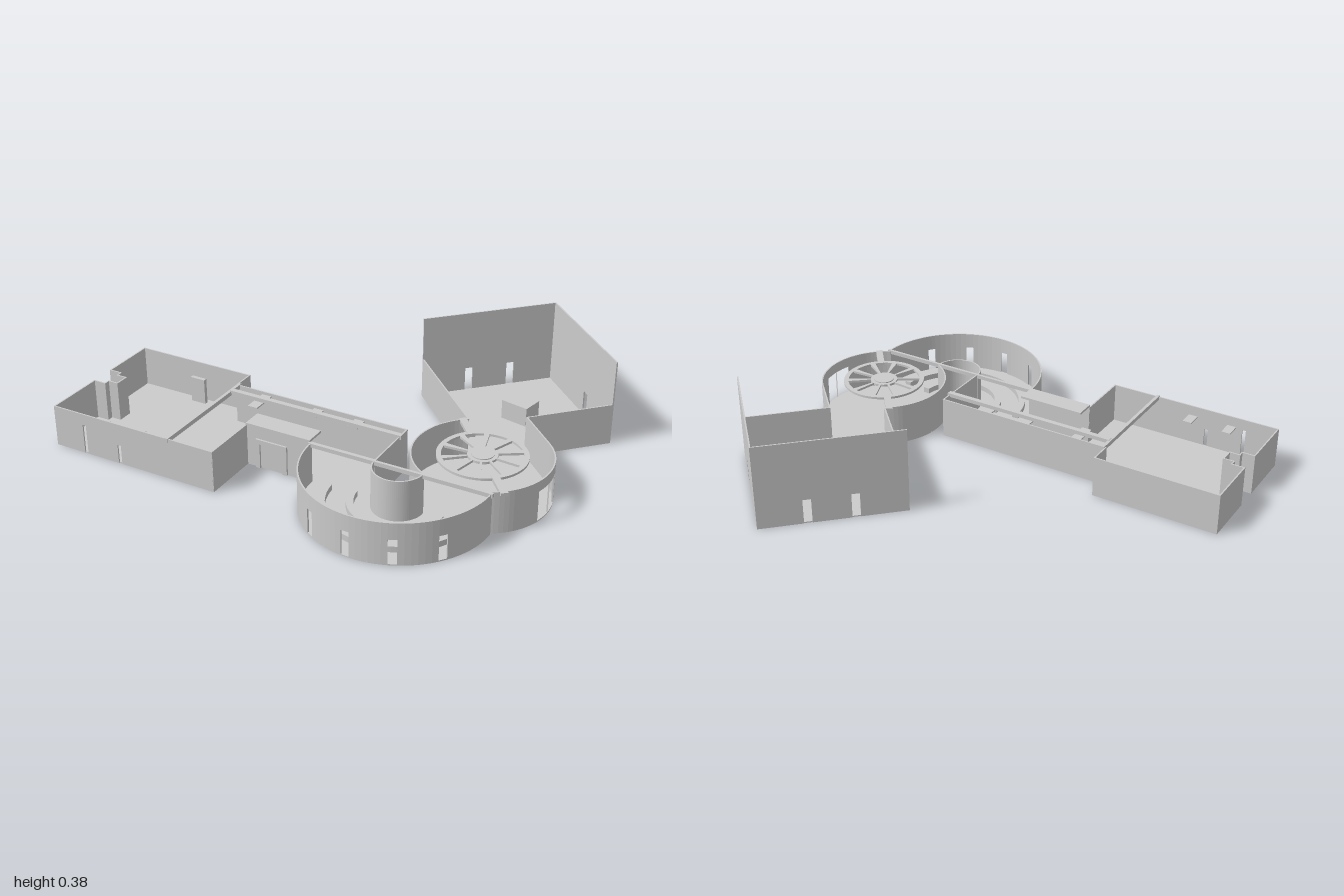
import * as THREE from 'three';

const H = 0.18, TALL = 0.375, T = 0.006, FLOOR = 0.005;

export function createModel() {
  const model = new THREE.Group();
  const mat = new THREE.MeshStandardMaterial({ color: 0xcccccc, side: THREE.DoubleSide });

  const add = (name, geo) => {
    const m = new THREE.Mesh(geo, mat);
    m.name = name;
    model.add(m);
    return m;
  };
  // box given by its ranges
  const box = (name, x0, x1, y0, y1, z0, z1) => {
    const m = add(name, new THREE.BoxGeometry(x1 - x0, y1 - y0, z1 - z0));
    m.position.set((x0 + x1) / 2, (y0 + y1) / 2, (z0 + z1) / 2);
    return m;
  };
  // plan outline (x, z) extruded upwards from y by h
  const slab = (name, shape, y, h) => {
    const g = new THREE.ExtrudeGeometry(shape, { depth: h, bevelEnabled: false, curveSegments: 48 });
    g.rotateX(Math.PI / 2).translate(0, y + h, 0);
    return add(name, g);
  };
  const outline = pts => new THREE.Shape(pts.map(p => new THREE.Vector2(p[0], p[1])));
  const rad = THREE.MathUtils.degToRad;
  // ring sector in plan, angles in degrees from +x towards +z
  const sector = (cx, cz, r0, r1, a0, a1) => {
    const pts = [], n = Math.max(2, Math.ceil((a1 - a0) / 4));
    const at = (r, i) => {
      const a = rad(a0 + (a1 - a0) * i / n);
      return [cx + r * Math.cos(a), cz + r * Math.sin(a)];
    };
    for (let i = 0; i <= n; i++) pts.push(at(r1, i));
    for (let i = n; i >= 0; i--) pts.push(at(r0, i));
    return outline(pts);
  };
  // straight bar between two plan points
  const bar = (name, a, b, y0, y1, t = T) => {
    const dx = b[0] - a[0], dz = b[1] - a[1];
    const m = add(name, new THREE.BoxGeometry(Math.hypot(dx, dz) + t * 0.9, y1 - y0, t));
    m.position.set((a[0] + b[0]) / 2, (y0 + y1) / 2, (a[1] + b[1]) / 2);
    m.rotation.y = -Math.atan2(dz, dx);
  };
  // straight wall with doorways [centre 0..1, width, height]
  const wall = (name, a, b, h = H, doors = []) => {
    const len = Math.hypot(b[0] - a[0], b[1] - a[1]);
    const at = t => [a[0] + (b[0] - a[0]) * t, a[1] + (b[1] - a[1]) * t];
    let t = 0;
    for (const [c, w, top] of doors) {
      const t0 = c - w / 2 / len, t1 = c + w / 2 / len;
      bar(name, at(t), at(t0), 0, h);
      bar(name + 'Lintel', at(t0), at(t1), top, h);
      t = t1;
    }
    bar(name, at(t), at(1), 0, h);
  };
  // curved wall with doorways [centre angle, half angle, height]
  const arcWall = (name, cx, cz, r, a0, a1, doors = []) => {
    let a = a0;
    for (const [c, w, top] of doors) {
      slab(name, sector(cx, cz, r - T, r, a, c - w), 0, H);
      slab(name + 'Lintel', sector(cx, cz, r - T, r, c - w, c + w), top, H - top);
      a = c + w;
    }
    slab(name, sector(cx, cz, r - T, r, a, a1), 0, H);
  };

  // west room and hall: floor
  const alcove = [[-1, 0.33], [-0.945, 0.33], [-0.945, 0.355], [-0.9, 0.355],
    [-0.9, 0.415], [-0.945, 0.415], [-0.945, 0.44], [-1, 0.44]];
  slab('westFloor', outline([[-1, 0.085], ...alcove, [-1, 0.7], [-0.23, 0.7], [-0.23, 0.455],
    [0.35, 0.455], [0.35, 0.18], [-0.45, 0.18], [-0.45, 0.085]]), 0, FLOOR);

  // west room: walls with the stepped alcove
  wall('westBackWall', [-1, 0.085], [-0.45, 0.085]);
  const path = [[-1, 0.085], ...alcove, [-1, 0.7]];
  for (let i = 0; i + 1 < path.length; i++) wall('westSideWall', path[i], path[i + 1]);
  wall('westFrontWall', [-0.997, 0.7], [-0.233, 0.7], H, [[0.19, 0.022, 0.13], [0.415, 0.022, 0.085]]);
  wall('westInnerWall', [-0.45, 0.085], [-0.45, 0.18]);
  wall('westReturnWall', [-0.23, 0.455], [-0.23, 0.7]);
  bar('westBeam', [-0.44, 0.18], [-0.44, 0.7], 0.165, 0.184, 0.014);
  for (const x of [-0.795, -0.615]) box('doorCanopy', x - 0.02, x + 0.02, 0.13, 0.136, 0.63, 0.7);
  box('displayStand', -0.73, -0.66, 0, 0.12, 0.108, 0.125);

  // hall: walls, long beam and wall-top panels
  wall('hallBackWall', [-0.45, 0.183], [0.35, 0.183]);
  wall('hallEndWall', [0.35, 0.183], [0.35, 0.455]);
  wall('hallFrontWall', [-0.23, 0.452], [0.065, 0.452]);
  bar('hallBeam', [-0.43, 0.242], [0.35, 0.242], 0.17, 0.187, 0.022);
  for (const x of [-0.3, -0.05, 0.14])
    box('hallPanel', x - 0.022, x + 0.022, 0.162, 0.168, 0.18, x < -0.2 ? 0.3 : 0.25);

  // entrance: roof and door frame
  box('entranceRoof', -0.23, 0.065, 0.18, 0.19, 0.37, 0.458);
  for (const x of [-0.175, -0.05]) box('entranceJamb', x - 0.01, x + 0.01, 0, 0.13, 0.455, 0.463);
  box('entranceHeader', -0.185, -0.04, 0.11, 0.13, 0.455, 0.463);

  // half-ring gallery
  const GX = 0.452, GZ = 0.455;
  slab('galleryFloor', sector(GX, GZ, 0.1, 0.385, 0, 180), 0, FLOOR);
  arcWall('galleryOuterWall', GX, GZ, 0.385, 0, 180,
    [38, 66, 93, 121, 149].map(a => [a, 2.6, 0.11]));
  arcWall('galleryInnerWall', GX, GZ, 0.1 + T, 0, 180);
  for (const r of [0.17, 0.28]) slab('galleryBench', sector(GX, GZ, r, r + 0.03, 4, 176), 0, 0.03);
  bar('galleryBeam', [0.067, 0.46], [0.837, 0.46], 0.165, 0.182, 0.012);

  // round room
  const RX = 0.69, RZ = 0.21, R = 0.28;
  slab('roundFloor', new THREE.Shape().absarc(RX, RZ, R, 0, Math.PI * 2), 0, FLOOR);
  arcWall('roundOuterWall', RX, RZ, R, -45, 61, [[-7, 8, 0.135], [9, 8, 0.135]]);
  arcWall('roundInnerWall', RX, RZ, R, 119, 234);

  // spoked wheel under the open roof of the round room
  const wheel = new THREE.Shape().absarc(RX, RZ, 0.18, 0, Math.PI * 2);
  const SPOKES = 10;
  for (let i = 0; i < SPOKES; i++) {
    const a = i * 360 / SPOKES + 4;
    wheel.holes.push(new THREE.Path(sector(RX, RZ, 0.06, 0.16, a, a + 28).getPoints()));
  }
  slab('roofWheel', wheel, 0.168, 0.01);
  const hub = add('wheelHub', new THREE.CylinderGeometry(0.045, 0.045, 0.014, 32));
  hub.position.set(RX, 0.175, RZ);
  for (const deg of [50, 230]) {
    const c = Math.cos(rad(deg)), s = Math.sin(rad(deg));
    bar('wheelArm', [RX + 0.17 * c, RZ + 0.17 * s], [RX + 0.276 * c, RZ + 0.276 * s], 0.165, 0.18, 0.03);
  }

  // square room and the passage to the round room
  const back = [0.567, -0.838], left = [0.134, -0.408], right = [0.997, -0.408];
  const bend = [0.73, -0.14], passEnd = [0.885, 0.013], leftEnd = [0.527, -0.015];
  slab('squareFloor', outline([back, right, bend, passEnd, [0.69, 0.1], leftEnd, left]), 0, FLOOR);
  wall('squareBackLeftWall', back, left, TALL, [[0.33, 0.04, 0.11], [0.65, 0.04, 0.11]]);
  wall('squareBackRightWall', right, back, TALL, [[0.4, 0.04, 0.11]]);
  wall('squareFrontRightWall', right, bend);
  wall('passageWall', bend, passEnd);
  wall('squareFrontLeftWall', left, leftEnd);
  const block = box('plinth', 0.53, 0.655, 0, 0.09, -0.465, -0.37);
  block.rotation.y = rad(-12);

  return model;
}
